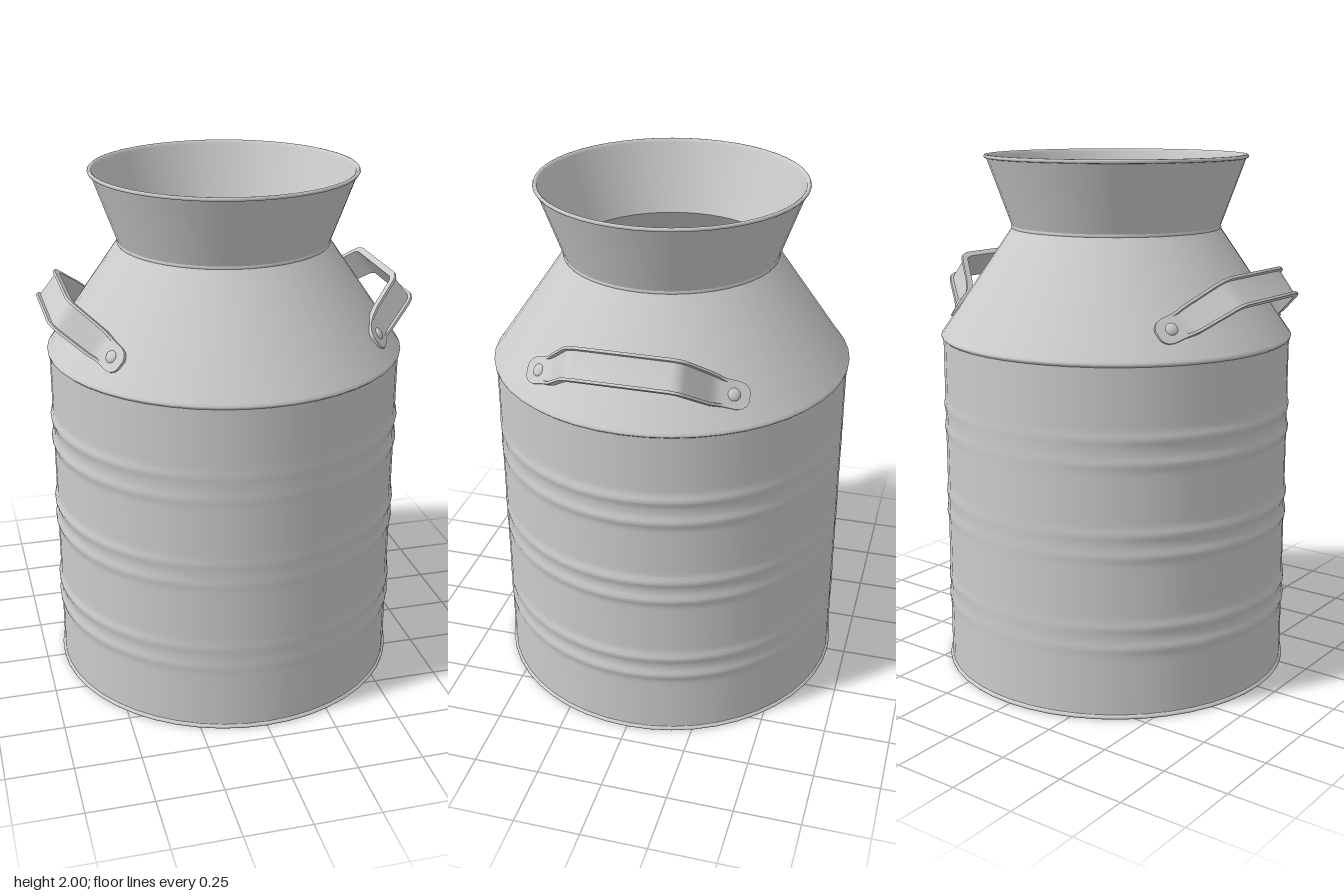
import * as THREE from 'three';
import { toCreasedNormals } from 'three/addons/utils/BufferGeometryUtils.js';

const SEG = 48;
const material = new THREE.MeshStandardMaterial({ color: 0xcccccc, side: THREE.DoubleSide });

function add(parent, name, geometry) {
  const mesh = new THREE.Mesh(geometry, material);
  mesh.name = name;
  parent.add(mesh);
  return mesh;
}

function lathe(points) {
  return new THREE.LatheGeometry(points.map(([r, y]) => new THREE.Vector2(r, y)), SEG);
}

// Cylindrical wall with three pairs of pressed ribs that fade towards front and back
function wallGeometry() {
  const bottom = 0.015, top = 1.31, rows = 110, radius = 0.671;
  const points = [];
  for (let i = 0; i <= rows; i++) points.push([radius, bottom + (top - bottom) * i / rows]);
  const geometry = lathe(points);
  const pos = geometry.attributes.position;
  const ribs = [0.27, 0.35, 0.62, 0.7, 0.96, 1.05];
  for (let i = 0; i < pos.count; i++) {
    const x = pos.getX(i), y = pos.getY(i), z = pos.getZ(i);
    const side = (x / radius) ** 2;
    let bump = 0;
    for (const rib of ribs) bump += Math.exp(-(((y - rib) / 0.018) ** 2));
    const k = 1 + bump * 0.009 * (0.1 + 0.9 * side) / radius;
    pos.setXYZ(i, x * k, y, z * k);
  }
  return toCreasedNormals(geometry, 0.8);
}

// Handle strap: stations of [along, height, half width, lip], mirrored end to end
function strapGeometry() {
  const foot = z => 1.269 + (0.35 - z) * 0.545;
  const half = [
    [0.402, foot(0.402), 0.018, 0], [0.396, foot(0.396), 0.032, 0],
    [0.384, foot(0.384), 0.044, 0], [0.365, foot(0.365), 0.05, 0],
    [0.325, foot(0.325), 0.05, 0], [0.305, foot(0.305), 0.052, 0.006],
    [0.288, 1.308, 0.055, 0.012], [0.272, 1.328, 0.057, 0.012],
    [0.205, 1.435, 0.06, 0.012], [0.193, 1.45, 0.06, 0.012], [0.172, 1.458, 0.06, 0.012],
  ];
  const stations = [...half, ...half.map(([x, ...rest]) => [-x, ...rest]).reverse()];
  const verts = [], index = [], N = 8, th = 0.012;
  stations.forEach(([x, h, hw, lip], i) => {
    const a = stations[Math.max(i - 1, 0)], b = stations[Math.min(i + 1, stations.length - 1)];
    const dx = b[0] - a[0], dh = b[1] - a[1], len = Math.hypot(dx, dh);
    const nx = dh / len, nh = -dx / len;
    const e = 0.01;
    const section = [
      [-hw, 0], [-hw, th + lip], [-hw + e, th + lip], [-hw + e + 0.002, th],
      [hw - e - 0.002, th], [hw - e, th + lip], [hw, th + lip], [hw, 0],
    ];
    for (const [w, t] of section) verts.push(x + nx * t, h + nh * t, w);
    if (i === 0) return;
    for (let j = 0; j < N; j++) {
      const p = (i - 1) * N + j, q = (i - 1) * N + (j + 1) % N;
      index.push(p, p + N, q, q, p + N, q + N);
    }
  });
  // End caps
  const last = (stations.length - 1) * N;
  for (let j = 1; j < N - 1; j++) {
    index.push(0, j, j + 1);
    index.push(last, last + j + 1, last + j);
  }
  const geometry = new THREE.BufferGeometry();
  geometry.setAttribute('position', new THREE.Float32BufferAttribute(verts, 3));
  geometry.setIndex(index);
  return toCreasedNormals(geometry, 0.6);
}

function createHandle(name) {
  const handle = new THREE.Group();
  handle.name = name;
  // Local frame: x along the can, y out from the shoulder, z up the slope
  const frame = new THREE.Group();
  const along = new THREE.Vector3(0, 0, 1);
  const out = new THREE.Vector3(0.78, 0.62, 0).normalize();
  const up = new THREE.Vector3().crossVectors(along, out);
  frame.quaternion.setFromRotationMatrix(new THREE.Matrix4().makeBasis(along, out, up));
  frame.position.copy(up).multiplyScalar(0.806);
  add(frame, 'handleStrap', strapGeometry());
  for (const s of [1, -1]) {
    const rivet = add(frame, 'handleRivet', new THREE.SphereGeometry(0.024, 16, 10));
    rivet.scale.y = 0.5;
    rivet.position.set(s * 0.356, 1.277, 0);
    rivet.rotation.z = -s * 0.5;
  }
  handle.add(frame);
  return handle;
}

export function createModel() {
  const can = new THREE.Group();
  can.name = 'milkCan';

  // Outer shell
  add(can, 'base', lathe([[0, 0], [0.675, 0]])).geometry.computeVertexNormals();
  add(can, 'baseRim', lathe([[0.675, 0], [0.679, 0.004], [0.679, 0.01], [0.671, 0.016]]));
  add(can, 'wall', wallGeometry());
  add(can, 'shoulderSeam', lathe([[0.671, 1.308], [0.678, 1.314], [0.679, 1.321], [0.672, 1.33]]));
  add(can, 'shoulder', lathe([[0.673, 1.328], [0.4, 1.724]]));
  add(can, 'neckSeam', lathe([[0.4, 1.722], [0.403, 1.728], [0.4, 1.735]]));
  add(can, 'funnel', lathe([[0.4, 1.733], [0.493, 1.988]]));
  add(can, 'rim', lathe([
    [0.491, 1.985], [0.499, 1.987], [0.502, 1.993], [0.499, 1.999], [0.493, 2], [0.487, 1.996], [0.484, 1.987],
  ]));

  // Hollow inside
  add(can, 'funnelInside', lathe([[0.485, 1.988], [0.392, 1.73]]));
  add(can, 'shoulderInside', lathe([[0.392, 1.73], [0.662, 1.324]]));
  add(can, 'wallInside', lathe([[0.662, 1.324], [0.662, 0.012]]));
  add(can, 'floorInside', lathe([[0.662, 0.012], [0, 0.012]]));

  // Side handles
  const left = createHandle('leftHandle');
  const right = createHandle('rightHandle');
  right.rotation.y = Math.PI;
  can.add(left, right);
  return can;
}
